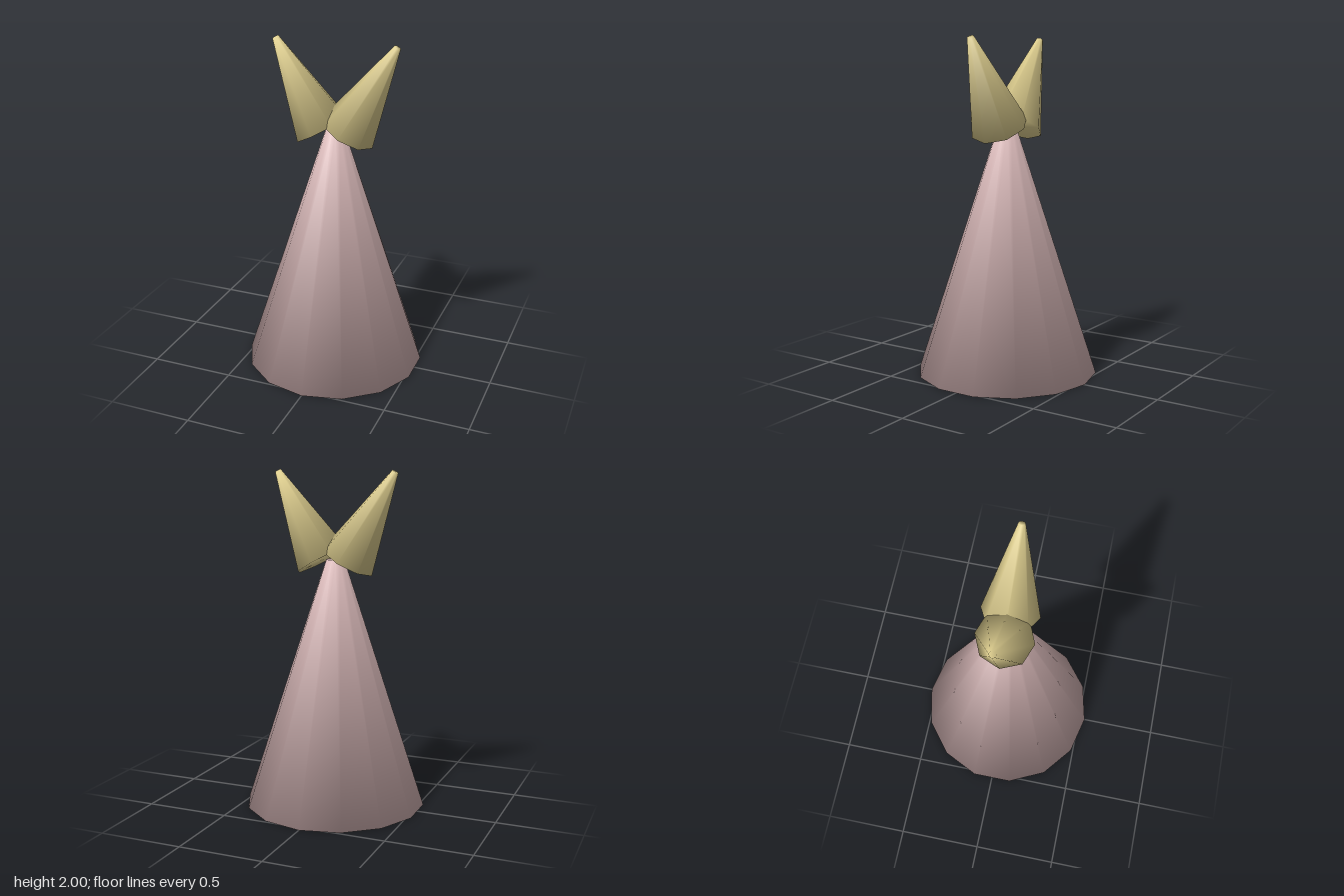
import * as THREE from 'three';

// Capped frustum standing on its base; the smooth normals run on over both rims.
function frustum(rBase, rTop, height, sides) {
  const positions = [], normals = [], index = [];
  const slope = Math.atan2(rBase - rTop, height);
  const capAngle = Math.PI - (2 * Math.PI) / sides;
  const lean = Math.atan2((rBase - rTop) * Math.sin(Math.PI / sides), Math.hypot(height, rBase - rTop));
  const n = new THREE.Vector3();
  for (const top of [0, 1]) {
    const r = top ? rTop : rBase;
    // corner angles weight the wall against the cap
    const wall = (Math.PI + (top ? 2 : -2) * lean) / capAngle;
    for (let i = 0; i < sides; i++) {
      const a = (i / sides) * Math.PI * 2;
      positions.push(r * Math.sin(a), top * height, r * Math.cos(a));
      const out = wall * Math.cos(slope);
      n.set(out * Math.sin(a), wall * Math.sin(slope) + (top ? 1 : -1), out * Math.cos(a)).normalize();
      normals.push(n.x, n.y, n.z);
    }
  }
  for (let i = 0; i < sides; i++) {
    const j = (i + 1) % sides;
    index.push(i, j, sides + j, i, sides + j, sides + i);
  }
  for (let i = 1; i < sides - 1; i++) {
    index.push(0, i + 1, i); // base cap
    index.push(sides, sides + i, sides + i + 1); // top cap
  }
  const geometry = new THREE.BufferGeometry();
  geometry.setAttribute('position', new THREE.Float32BufferAttribute(positions, 3));
  geometry.setAttribute('normal', new THREE.Float32BufferAttribute(normals, 3));
  geometry.setIndex(index);
  return geometry;
}

export function createModel() {
  const model = new THREE.Group();
  model.name = 'hornedCone';

  const pink = new THREE.MeshStandardMaterial({ color: 0xd6b6b6 });
  pink.name = 'dusty pink';
  const gold = new THREE.MeshStandardMaterial({ color: 0xe0d090 });
  gold.name = 'pale gold';

  // tall body
  const body = new THREE.Mesh(frustum(0.54, 0.054, 1.48, 14), pink);
  body.name = 'body';
  model.add(body);

  // two horns leaning outward and crossing at the middle
  const hornGeometry = frustum(0.17, 0.02, 0.59, 8);
  for (const side of [1, -1]) {
    const horn = new THREE.Mesh(hornGeometry, gold);
    horn.name = side > 0 ? 'leftHorn' : 'rightHorn';
    horn.position.set(side * 0.08, 1.474, 0);
    horn.rotation.z = -side * THREE.MathUtils.degToRad(29);
    model.add(horn);
  }
  return model;
}
